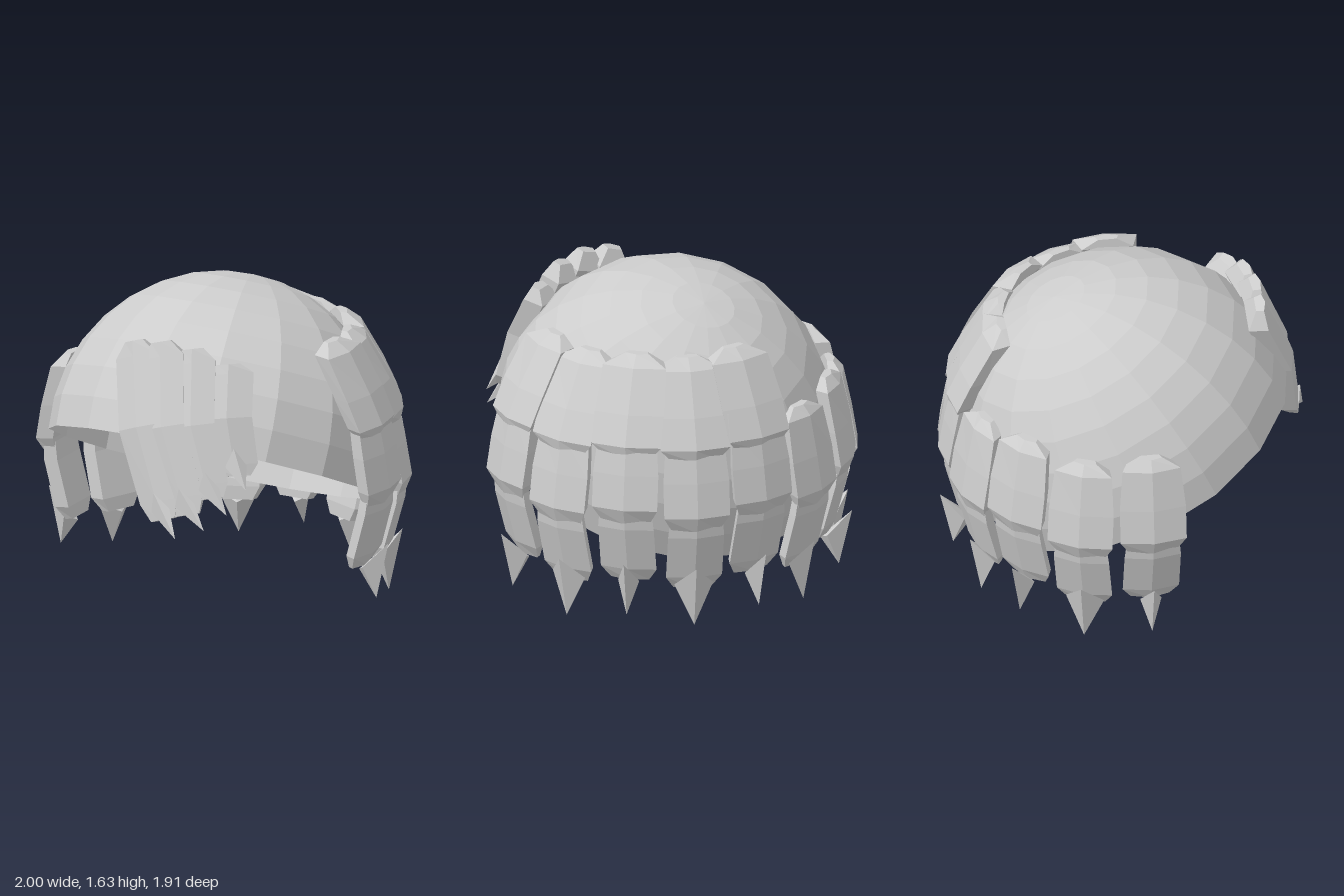
import * as THREE from 'three';
import { ConvexGeometry } from 'three/addons/geometries/ConvexGeometry.js';

const V = (x, y, z) => new THREE.Vector3(x, y, z);
const hair = new THREE.MeshStandardMaterial({ color: 0xcccccc, side: THREE.DoubleSide });
hair.name = 'ashGrey';

// Non-indexed copy with one normal per face
function faceted(geometry) {
  const g = geometry.index ? geometry.toNonIndexed() : geometry;
  g.computeVertexNormals();
  return g;
}

function part(name, geometry) {
  const mesh = new THREE.Mesh(faceted(geometry), hair);
  mesh.name = name;
  return mesh;
}

// Ridged plate swept from top to bottom; stations hold ridge point p, half width w, thickness t
function plate(stations, side, out, ridge = 0.03) {
  const pos = [], idx = [], n = 5, last = (stations.length - 1) * n;
  for (const { p, w, t } of stations) {
    const d = ridge * Math.min(1, w / 0.1);
    const section = [[0, 0], [w, -d], [w * 0.8, -d - t], [-w * 0.8, -d - t], [-w, -d]];
    for (const [s, o] of section) {
      pos.push(...p.clone().addScaledVector(side, s).addScaledVector(out, o).toArray());
    }
  }
  for (let k = 0; k < last; k += n) {
    for (let i = 0; i < n; i++) {
      const a = k + i, b = k + (i + 1) % n;
      idx.push(a, a + n, b + n, a, b + n, b);
    }
  }
  for (let i = 1; i < n - 1; i++) {
    idx.push(0, i, i + 1, last, last + i + 1, last + i);
  }
  const g = new THREE.BufferGeometry();
  g.setAttribute('position', new THREE.Float32BufferAttribute(pos, 3));
  g.setIndex(idx);
  return g;
}

// Tier profiles: height, ridge radius, half width, thickness
const UPPER = [[1.41, 0.69, 0.06, 0.03], [1.36, 0.765, 0.165, 0.1], [1.15, 0.885, 0.18, 0.1],
  [1.0, 0.955, 0.18, 0.09], [0.93, 0.94, 0.12, 0.04]];
const MIDDLE = [[1.11, 0.88, 0.06, 0.03], [1.06, 0.925, 0.15, 0.07], [0.85, 0.97, 0.17, 0.08],
  [0.67, 1.0, 0.17, 0.08], [0.58, 0.965, 0.12, 0.04]];
const LOWER = [[0.74, 0.965, 0.05, 0.02], [0.7, 0.98, 0.13, 0.05], [0.55, 0.965, 0.145, 0.06],
  [0.31, 0.9, 0.145, 0.06], [0.24, 0.865, 0.1, 0.03]];

function tier(name, profile, dy) {
  const stations = profile.map(([y, r, w, t]) => ({ p: V(0, y + dy, r), w, t }));
  return part(name, plate(stations, V(1, 0, 0), V(0, 0, 1)));
}

export function createModel() {
  const model = new THREE.Group();
  model.name = 'hair';

  // Cap: a little over half a sphere, pole tipped backward
  const cap = new THREE.SphereGeometry(0.87, 16, 9, 0, Math.PI * 2, 0, 1.698);
  cap.rotateX(-25 * Math.PI / 180).translate(0, 0.76, 0);
  model.add(part('cap', cap));

  // Nine layered locks round the back, upper tier only from centre back to the left
  for (let i = -4; i <= 4; i++) {
    const odd = i % 2 !== 0, dy = odd ? -0.045 : 0;
    const lock = new THREE.Group();
    lock.name = 'backLock';
    if (i >= 0) lock.add(tier('upperLock', UPPER, dy * 0.4));
    lock.add(tier('middleLock', MIDDLE, dy), tier('lowerLock', LOWER, dy));

    // Pointed tip flaring outward
    const w = odd ? 0.1 : 0.055;
    const spike = odd
      ? [V(0, 0, 0.88), V(0, 0.33, 0.95), V(w, 0.22, 0.86), V(-w, 0.22, 0.86), V(0, 0.18, 0.8)]
      : [V(0, 0.07, 0.92), V(0, 0.37, 0.99), V(w, 0.24, 0.87), V(-w, 0.24, 0.87), V(0, 0.21, 0.82)];
    lock.add(part('lockTip', new ConvexGeometry(spike)));

    lock.rotation.y = Math.PI - i * Math.PI / 8;
    const squeeze = 1 - 0.035 * (1 - Math.abs(i) / 4);
    lock.scale.set(1, 1, squeeze);
    model.add(lock);
  }

  // Swept fringe: top, middle, bottom, tip, outward direction and half width of each lock
  const fringe = [
    [V(-0.11, 1.48, 0.7), V(0, 1.08, 0.86), V(0.18, 0.63, 0.92), V(0.28, 0.55, 0.95), V(-0.1, 0.3, 1), 0.12],
    [V(0.05, 1.5, 0.7), V(0.14, 1.1, 0.85), V(0.31, 0.67, 0.9), V(0.43, 0.61, 0.92), V(0.05, 0.3, 1), 0.12],
    [V(0.22, 1.48, 0.67), V(0.29, 1.12, 0.81), V(0.42, 0.76, 0.85), V(0.53, 0.69, 0.86), V(0.25, 0.3, 1), 0.12],
    [V(0.4, 1.41, 0.61), V(0.45, 1.16, 0.72), V(0.52, 0.87, 0.75), V(0.59, 0.81, 0.77), V(0.5, 0.3, 0.9), 0.13],
  ];
  for (const [top, mid, low, tip, facing, w] of fringe) {
    const up = top.clone().sub(low).normalize();
    const side = up.clone().cross(facing).normalize();
    const out = side.clone().cross(up);
    const stations = [
      { p: top, w: w * 0.45, t: 0.04 },
      { p: top.clone().lerp(mid, 0.18), w, t: 0.1 },
      { p: mid, w, t: 0.1 },
      { p: mid.clone().lerp(low, 0.8), w: w * 0.95, t: 0.08 },
      { p: low, w: w * 0.6, t: 0.04 },
    ];
    model.add(part('fringeLock', plate(stations, side, out, 0.025)));

    // Small pointed tip
    const root = low.clone().addScaledVector(up, 0.05);
    const corners = [
      tip,
      root.clone().addScaledVector(up, 0.09).addScaledVector(out, 0.03),
      root.clone().addScaledVector(side, 0.06),
      root.clone().addScaledVector(side, -0.05),
      root.clone().addScaledVector(out, -0.07),
    ];
    model.add(part('fringeTip', new ConvexGeometry(corners)));
  }
  return model;
}
